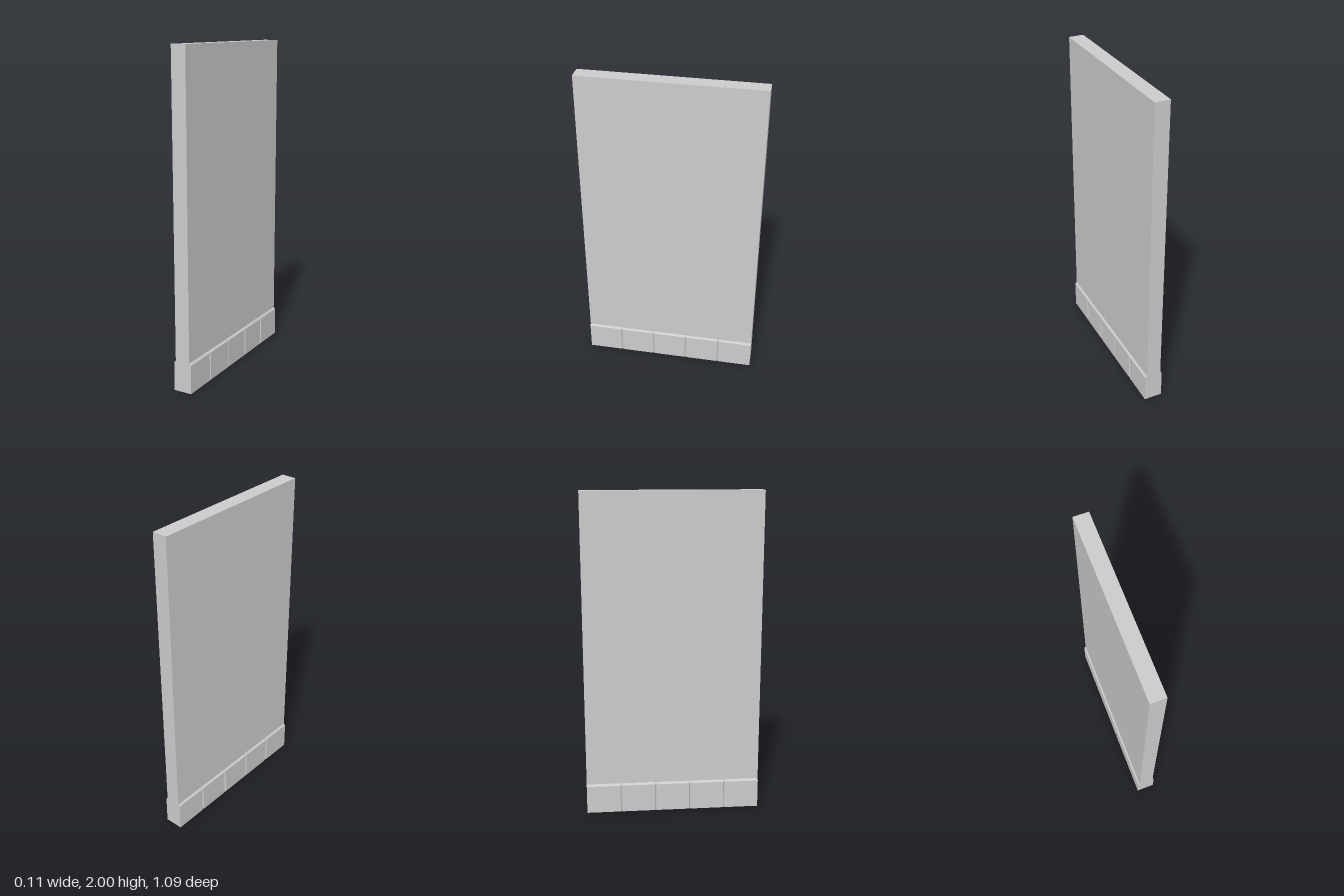
import * as THREE from 'three';

const WALL_X = 0.046, BASE_X = 0.057, HALF_Z = 0.545;
const BEVEL_Y = 0.176, BASE_Y = 0.188;
const NOTCH_DEPTH = 0.007, NOTCH_HALF = 0.006, BLOCKS = 5;

// Plan outline of the plinth, with V-grooves between the blocks on both sides
function plinthOutline() {
  const side = [[BASE_X, -HALF_Z]];
  for (let i = 1; i < BLOCKS; i++) {
    const z = -HALF_Z + (2 * HALF_Z * i) / BLOCKS;
    side.push([BASE_X, z - NOTCH_HALF], [BASE_X - NOTCH_DEPTH, z], [BASE_X, z + NOTCH_HALF]);
  }
  side.push([BASE_X, HALF_Z]);
  const points = [...side, ...side.map(([x, z]) => [-x, -z])];
  return new THREE.Shape(points.map(([x, z]) => new THREE.Vector2(x, z)));
}

function plinthGeometry() {
  const geo = new THREE.ExtrudeGeometry(plinthOutline(), { depth: BASE_Y, steps: 2, bevelEnabled: false });
  geo.rotateX(-Math.PI / 2);
  // Raise the middle ring to the bevel line and draw the top ring in to the wall
  const p = geo.attributes.position;
  for (let i = 0; i < p.count; i++) {
    const y = p.getY(i);
    if (y > BASE_Y * 0.75) p.setX(i, Math.sign(p.getX(i)) * WALL_X);
    else if (y > BASE_Y * 0.25) p.setY(i, BEVEL_Y);
  }
  geo.computeVertexNormals();
  return geo;
}

export function createModel() {
  const group = new THREE.Group();
  group.name = 'wallPanel';
  const material = new THREE.MeshStandardMaterial({ color: 0xcccccc, flatShading: true });

  // Plain wall slab
  const wall = new THREE.Mesh(new THREE.BoxGeometry(2 * WALL_X, 2 - BASE_Y, 2 * HALF_Z), material);
  wall.name = 'wall';
  wall.position.y = (2 + BASE_Y) / 2;

  // Bevelled block plinth
  const plinth = new THREE.Mesh(plinthGeometry(), material);
  plinth.name = 'plinth';

  group.add(wall, plinth);
  return group;
}
